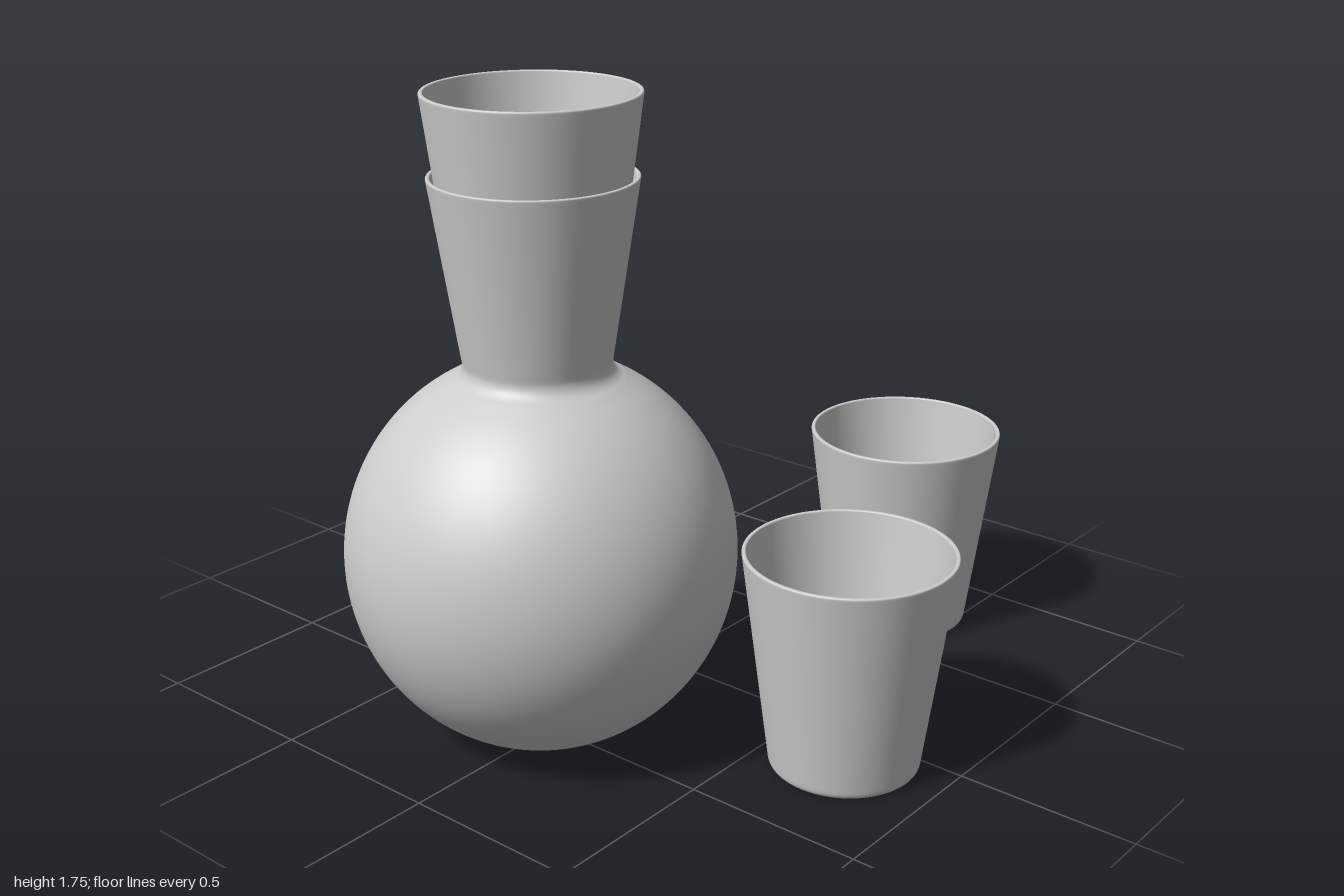
import * as THREE from 'three';

const material = new THREE.MeshStandardMaterial({ color: 0xcccccc });
const v = (x, y) => new THREE.Vector2(x, y);

// Rounds a profile corner from a to b with control point c.
const bend = (a, c, b, n = 6) => new THREE.QuadraticBezierCurve(a, c, b).getPoints(n);

// Elliptical profile arc between two angles, measured up from the equator.
function arc(cy, rx, ry, from, to, n = 48) {
  return Array.from({ length: n + 1 }, (_, i) => {
    const a = from + (to - from) * i / n;
    return v(rx * Math.cos(a), cy + ry * Math.sin(a));
  });
}

function turned(name, profile) {
  const mesh = new THREE.Mesh(new THREE.LatheGeometry(profile, 96), material);
  mesh.name = name;
  return mesh;
}

// Thin tapered tumbler, outside then inside, with a shallow recess below.
function createCup(name, x, y, z) {
  const cup = turned(name, [
    v(0, 0.014), v(0.11, 0.014),
    ...bend(v(0.125, 0.012), v(0.14, 0.001), v(0.155, 0)),
    v(0.18, 0),
    ...bend(v(0.188, 0), v(0.2, 0), v(0.203, 0.018)),
    v(0.204, 0.026), v(0.279, 0.596),
    ...bend(v(0.28, 0.602), v(0.2795, 0.607), v(0.276, 0.607), 4),
    ...bend(v(0.272, 0.607), v(0.268, 0.607), v(0.268, 0.602), 4),
    v(0.267, 0.594), v(0.202, 0.11),
    ...bend(v(0.2, 0.095), v(0.191, 0.03), v(0.125, 0.03), 12),
    v(0.11, 0.03), v(0, 0.03),
  ]);
  cup.position.set(x, y, z);
  return cup;
}

// Round-bodied carafe with a flared, hollow neck.
function createCarafe(x, z) {
  const cy = 0.517, rx = 0.525, ry = 0.54;
  const low = -Math.acos(0.165 / rx), high = Math.acos(0.24 / rx);
  const t = 0.012;
  const carafe = turned('carafe', [
    v(0, 0.016), v(0.105, 0.016),
    ...bend(v(0.115, 0.014), v(0.125, 0), v(0.14, 0)),
    ...arc(cy, rx, ry, low, high),
    ...bend(v(0.232, 1.003), v(0.195, 1.018), v(0.196, 1.05), 10),
    v(0.1975, 1.06), v(0.27, 1.53),
    ...bend(v(0.271, 1.536), v(0.271, 1.54), v(0.267, 1.54), 4),
    ...bend(v(0.264, 1.54), v(0.26, 1.54), v(0.259, 1.535), 4),
    v(0.258, 1.528), v(0.187, 1.06),
    ...bend(v(0.185, 1.048), v(0.184, 1.014), v(0.22, 0.993), 10),
    ...arc(cy, rx - t, ry - t, high, low),
    v(0.12, 0.03), v(0, 0.03),
  ]);
  carafe.position.set(x, 0, z);
  return carafe;
}

export function createModel() {
  const group = new THREE.Group();
  group.name = 'carafeSet';
  group.add(
    createCarafe(-0.47, -0.05),
    createCup('stopperCup', -0.47, 1.148, -0.05),
    createCup('frontCup', -0.13, 0, 0.715),
    createCup('leftCup', 0.71, 0, 0.335),
    createCup('backCup', 0.1, 0, -0.72),
  );
  return group;
}
